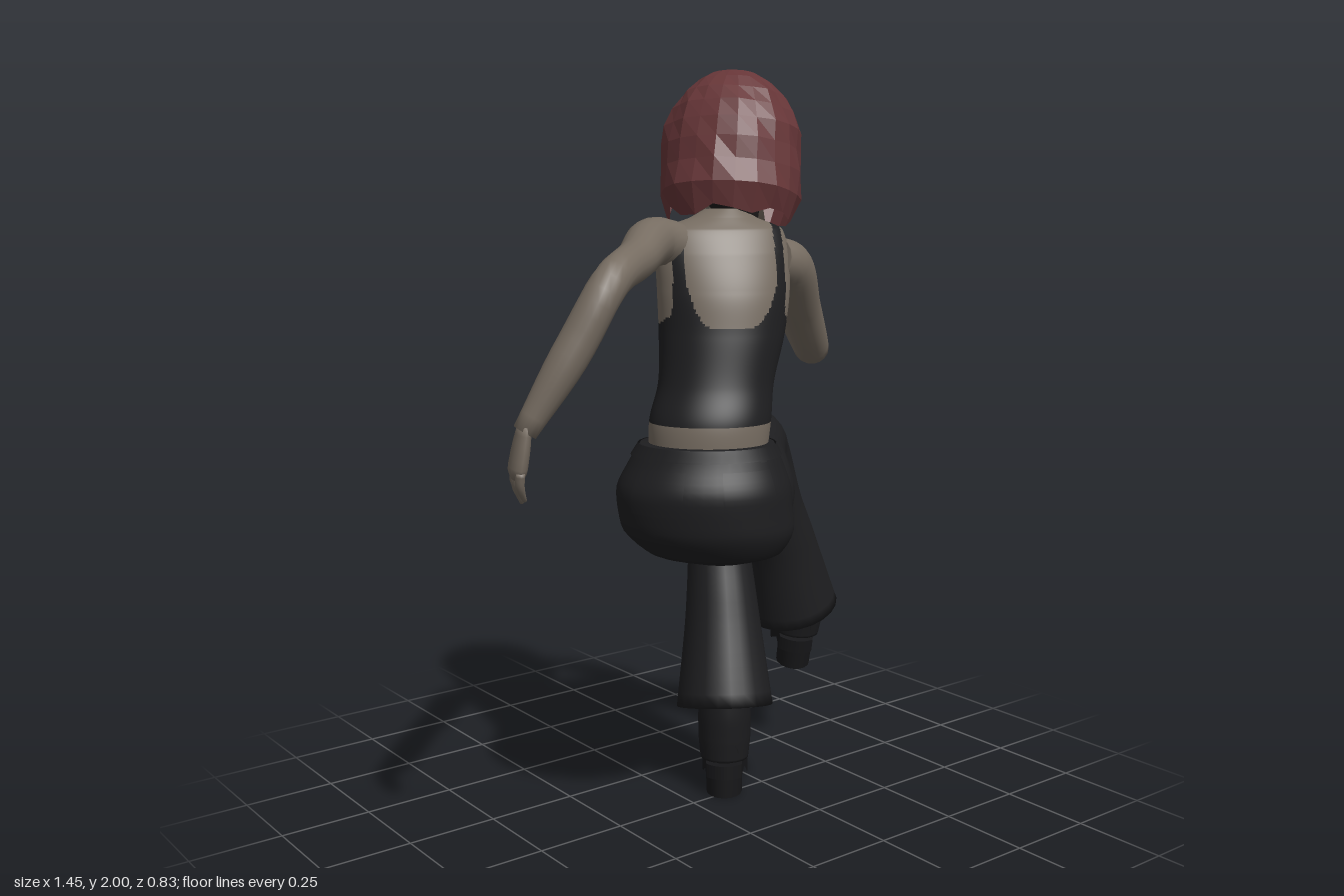
import * as THREE from 'three';

const V = (x, y, z) => new THREE.Vector3(x, y, z);
const mat = (name, color, side = THREE.FrontSide) => {
  const m = new THREE.MeshStandardMaterial({ color, side });
  m.name = name;
  return m;
};
const skin = mat('skin', 0x766c61);
const black = mat('black cloth', 0x1e1e20, THREE.DoubleSide);
const leather = mat('shoe leather', 0x1b1b1d);
const sole = mat('shoe sole', 0x171719);
const hairMat = mat('red hair', 0x673638, THREE.DoubleSide);
hairMat.flatShading = true;
const dark = mat('eye dark', 0x1d1a1a, THREE.DoubleSide);
const lip = mat('lips', 0x70544e, THREE.DoubleSide);

const mesh = (name, geo, m) => {
  const o = new THREE.Mesh(geo, m);
  o.name = name;
  return o;
};

// Grid surface fn(t, a): t along, a around; optional end caps and a material rule per quad
function grid(rows, cols, fn, { wrap = true, caps = true, rule = null } = {}) {
  const pos = [], sets = [[], []], n = wrap ? cols : cols + 1;
  for (let i = 0; i <= rows; i++)
    for (let j = 0; j < n; j++) pos.push(...fn(i / rows, j / cols).toArray());
  for (let i = 0; i < rows; i++)
    for (let j = 0; j < cols; j++) {
      const k = (j + 1) % n, a = i * n + j, b = i * n + k, c = a + n, d = b + n;
      sets[rule ? rule((i + 0.5) / rows, (j + 0.5) / cols) : 0].push(a, b, c, b, d, c);
    }
  if (wrap && caps) {
    for (const [t, base] of [[0, 0], [1, rows * n]]) {
      const mid = V(0, 0, 0), id = pos.length / 3;
      for (let j = 0; j < n; j++) mid.add(fn(t, j / cols));
      pos.push(...mid.divideScalar(n).toArray());
      for (let j = 0; j < n; j++) {
        const a = base + j, b = base + (j + 1) % n;
        sets[0].push(...(t ? [a, b, id] : [b, a, id]));
      }
    }
  }
  const g = new THREE.BufferGeometry();
  g.setAttribute('position', new THREE.Float32BufferAttribute(pos, 3));
  g.setIndex([...sets[0], ...sets[1]]);
  if (rule) {
    g.addGroup(0, sets[0].length, 0);
    g.addGroup(sets[0].length, sets[1].length, 1);
  }
  g.computeVertexNormals();
  return g;
}

// Tapered limb through [x, y, z, radius] points; flat squashes it across the side axis
function limb(name, m, pts, { side = [0.78, 0, 0.62], flat = 1, rows = 28, cols = 18 } = {}) {
  const path = new THREE.CatmullRomCurve3(pts.map(p => V(p[0], p[1], p[2])));
  const rad = new THREE.CatmullRomCurve3(pts.map(p => V(p[3], 0, 0)));
  const geo = grid(rows, cols, (t, a) => {
    const tan = path.getTangent(t), u = V(...side);
    u.addScaledVector(tan, -u.dot(tan)).normalize();
    const v = tan.clone().cross(u), r = rad.getPoint(t).x, th = a * Math.PI * 2;
    return path.getPoint(t).addScaledVector(u, Math.cos(th) * r).addScaledVector(v, Math.sin(th) * r * flat);
  });
  return mesh(name, geo, m);
}

// Body section stack: [x, y, z, half width, half depth, yaw]; front is at a = 0.25
function body(rows) {
  const mid = new THREE.CatmullRomCurve3(rows.map(r => V(r[0], r[1], r[2])));
  const size = new THREE.CatmullRomCurve3(rows.map(r => V(r[3], r[4], r[5])));
  return (t, a, off = 0) => {
    const c = mid.getPoint(t), s = size.getPoint(t), th = a * Math.PI * 2;
    const p = Math.cos(th) * (s.x + off), q = Math.sin(th) * (s.y + off);
    const w = V(c.x + p * Math.cos(s.z) + q * Math.sin(s.z), c.y, c.z + p * Math.sin(s.z) - q * Math.cos(s.z));
    w.across = p;
    w.front = Math.sin(th);
    return w;
  };
}

// Hand: palm, four curled fingers and a thumb
function hand(name, wrist, dir, across, curl) {
  const g = new THREE.Group();
  g.name = name;
  const w = V(...wrist), d = V(...dir).normalize(), s = V(...across), size = 1.1;
  s.addScaledVector(d, -s.dot(d)).normalize();
  const c = V(...curl).normalize();
  const at = (l, x, k, r) => [...w.clone().addScaledVector(d, l * size).addScaledVector(s, x * size)
    .addScaledVector(c, k * size).toArray(), r * size];
  const opt = { side: s.toArray(), rows: 8, cols: 8 };
  g.add(limb('palm', skin, [at(-0.02, 0, 0, 0.026), at(0.03, 0, 0, 0.034), at(0.075, 0, 0, 0.036), at(0.095, 0, 0, 0.02)],
    { ...opt, flat: 0.55, cols: 12 }));
  for (let i = 0; i < 4; i++) {
    const x = (i - 1.5) * 0.018, l = 0.075 - Math.abs(i - 1.4) * 0.009;
    g.add(limb('finger', skin, [at(0.075, x, 0, 0.011), at(0.075 + l * 0.5, x, 0.008, 0.01), at(0.075 + l, x, 0.035, 0.005)], opt));
  }
  g.add(limb('thumb', skin, [at(0.01, 0.02, 0, 0.013), at(0.05, 0.045, 0.012, 0.012), at(0.09, 0.048, 0.03, 0.006)], opt));
  return g;
}

// Platform boot, toe towards local +z
function boot(name) {
  const g = new THREE.Group();
  g.name = name;
  const plan = new THREE.Shape();
  plan.moveTo(-0.05, -0.14);
  plan.bezierCurveTo(-0.056, -0.03, -0.073, 0.05, -0.064, 0.1);
  plan.bezierCurveTo(-0.05, 0.192, 0.05, 0.192, 0.064, 0.1);
  plan.bezierCurveTo(0.073, 0.05, 0.056, -0.03, 0.05, -0.14);
  plan.quadraticCurveTo(0, -0.185, -0.05, -0.14);
  const base = new THREE.ExtrudeGeometry(plan, { depth: 0.04, bevelEnabled: false, curveSegments: 12 });
  base.rotateX(Math.PI / 2).translate(0, 0.04, 0);
  const p = base.attributes.position;
  for (let i = 0; i < p.count; i++)
    p.setY(i, p.getY(i) + 0.055 * (1 - THREE.MathUtils.smoothstep(p.getZ(i), -0.06, 0.05)));
  base.computeVertexNormals();
  g.add(mesh('platformSole', base, sole));
  const heel = new THREE.CylinderGeometry(0.057, 0.055, 0.085, 16);
  heel.scale(0.92, 1, 1.1).translate(0, 0.0425, -0.1);
  g.add(mesh('heel', heel, sole));
  const opt = { side: [1, 0, 0] };
  g.add(limb('vamp', leather, [[0, 0.13, -0.145, 0.04], [0, 0.145, -0.09, 0.066], [0, 0.135, -0.02, 0.068],
    [0, 0.1, 0.06, 0.064], [0, 0.08, 0.125, 0.053], [0, 0.068, 0.17, 0.015]], opt));
  g.add(limb('shaft', leather, [[0, 0.1, -0.088, 0.068], [0, 0.16, -0.085, 0.074], [0, 0.22, -0.085, 0.075], [0, 0.3, -0.085, 0.07]], opt));
  return g;
}

function makeHead() {
  const g = new THREE.Group();
  g.name = 'head';
  const face = new THREE.SphereGeometry(1, 32, 24), p = face.attributes.position;
  for (let i = 0; i < p.count; i++) {
    const y = p.getY(i), k = y < 0 ? 1 + 0.28 * y : 1;
    p.setXYZ(i, p.getX(i) * 0.105 * k, y * 0.15 - 0.055, p.getZ(i) * 0.13 + 0.03);
  }
  face.computeVertexNormals();
  g.add(mesh('face', face, skin));
  g.add(limb('nose', skin, [[0, -0.03, 0.148, 0.008], [0, -0.07, 0.162, 0.011], [0, -0.092, 0.163, 0.015], [0, -0.103, 0.15, 0.006]],
    { side: [1, 0, 0], rows: 8, cols: 10 }));
  for (const s of [-1, 1]) {
    const eye = mesh('eye', new THREE.CircleGeometry(1, 16).scale(0.02, 0.006, 1), dark);
    eye.position.set(s * 0.043, -0.042, 0.152);
    eye.rotation.y = s * 0.4;
    const brow = mesh('brow', new THREE.PlaneGeometry(0.042, 0.004), dark);
    brow.position.set(s * 0.043, -0.014, 0.153);
    brow.rotation.set(0, s * 0.4, s * -0.1);
    g.add(eye, brow);
  }
  const mouth = mesh('mouth', new THREE.CircleGeometry(1, 16).scale(0.024, 0.008, 1), lip);
  mouth.position.set(0, -0.13, 0.147);
  mouth.rotation.x = 0.35;
  g.add(mouth);
  // Bob haircut: open shell with a fringe and a ragged hem
  let seed = 7;
  const rnd = () => (seed = (seed * 16807) % 2147483647) / 2147483647 - 0.5;
  const cols = 22, rows = 9;
  const jit = Array.from({ length: (rows + 1) * cols }, rnd);
  const hair = grid(rows, cols, (t, a) => {
    const th = a * Math.PI * 2, front = -Math.sin(th), s = 1 - t, back = Math.max(0, -front);
    const j = jit[Math.round(t * rows) * cols + Math.round(a * cols) % cols];
    const open = THREE.MathUtils.smoothstep(front, 0.5, 0.8);
    const hem = THREE.MathUtils.lerp(-0.18 + 0.01 * back, 0.01, open) + (t === 0 ? j * 0.045 : 0);
    const y = 0.212 - (0.212 - hem) * Math.pow(s, 1.55);
    let r = y > 0 ? Math.sqrt(Math.max(0, 1 - (y / 0.212) ** 2)) : 1 + 0.75 * -y * back;
    r *= (1 + j * 0.07) * (s > 0.95 ? 0.86 : 1);
    return V(Math.cos(th) * 0.178 * r, y, -Math.sin(th) * 0.192 * r);
  }, { caps: false });
  g.add(mesh('bobHair', hair, hairMat));
  return g;
}

export function createModel() {
  const root = new THREE.Group();
  root.name = 'seatedWoman';

  // Hips with waistband, belt loops and back pockets
  const hips = body([[-0.1, 0.765, 0.24, 0.07, 0.05, 0.67], [-0.11, 0.79, 0.235, 0.165, 0.12, 0.67],
    [-0.125, 0.86, 0.222, 0.22, 0.168, 0.67], [-0.135, 0.95, 0.218, 0.222, 0.175, 0.67],
    [-0.132, 1.03, 0.222, 0.192, 0.15, 0.67], [-0.13, 1.075, 0.225, 0.168, 0.135, 0.65]]);
  root.add(mesh('trouserHips', grid(24, 40, (t, a) => hips(t, a)), black));
  const patch = (name, t0, t1, a0, a1, off) => root.add(mesh(name,
    grid(8, 32, (t, a) => hips(t0 + (t1 - t0) * t, a0 + (a1 - a0) * a, off), { wrap: false }), black));
  patch('waistband', 0.86, 1, 0, 1, 0.006);
  for (const a of [0.13, 0.37, 0.62, 0.75, 0.88]) patch('beltLoop', 0.85, 1, a - 0.008, a + 0.008, 0.01);
  for (const a of [0.66, 0.84]) patch('backPocket', 0.52, 0.78, a - 0.055, a + 0.055, 0.005);

  // Torso: bare waist, tank top with scooped neck and open armholes
  const trunk = body([[-0.128, 1.04, 0.225, 0.148, 0.118, 0.64], [-0.118, 1.13, 0.222, 0.153, 0.122, 0.6],
    [-0.092, 1.22, 0.212, 0.146, 0.115, 0.55], [-0.06, 1.34, 0.195, 0.16, 0.122, 0.48],
    [-0.045, 1.45, 0.183, 0.17, 0.118, 0.43], [-0.04, 1.54, 0.172, 0.172, 0.097, 0.42],
    [-0.036, 1.6, 0.165, 0.155, 0.072, 0.42], [-0.025, 1.628, 0.155, 0.085, 0.055, 0.42], [-0.01, 1.65, 0.145, 0.05, 0.048, 0.42]]);
  const bust = (t, a) => {
    const w = trunk(t, a);
    if (w.front > 0) {
      const k = 0.04 * w.front * Math.exp(-(((w.y - 1.39) / 0.07) ** 2)) * Math.exp(-(((Math.abs(w.across) - 0.07) / 0.06) ** 2));
      w.x += k * 0.45;
      w.z -= k * 0.9;
    }
    return w;
  };
  const bare = (t, a) => {
    const { y, across, front } = trunk(t, a), x = Math.abs(across);
    const scoop = x < 0.118 && y > (front > 0 ? 1.42 : 1.36) + 0.12 * (x / 0.118) ** 4;
    const armhole = x > 0.144 && y > 1.37 + 0.1 * front * front;
    return y < 1.125 || y > 1.622 || scoop || armhole ? 1 : 0;
  };
  root.add(mesh('torsoAndTankTop', grid(150, 160, bust, { rule: bare }), [black, skin]));
  root.add(limb('neck', skin, [[-0.025, 1.56, 0.155, 0.055], [0.01, 1.63, 0.12, 0.05], [0.04, 1.72, 0.09, 0.052]]));
  root.add(limb('napeHair', dark, [[0.045, 1.57, 0.145, 0.035], [0.03, 1.63, 0.145, 0.055], [0.02, 1.7, 0.14, 0.075], [0.03, 1.76, 0.13, 0.07]]));

  const head = makeHead();
  head.position.set(0.05, 1.787, 0.092);
  head.rotation.set(0.17, Math.atan2(0.45, -0.89), 0.09, 'YXZ');
  root.add(head);

  // Flared trouser legs, one resting over the other
  root.add(limb('standingLeg', black, [[-0.2, 0.91, 0.19, 0.12], [-0.05, 0.895, 0.055, 0.12], [0.12, 0.875, -0.09, 0.107],
    [0.215, 0.84, -0.185, 0.1], [0.222, 0.72, -0.175, 0.088], [0.2, 0.5, -0.125, 0.105], [0.163, 0.235, -0.065, 0.138]], { rows: 44, cols: 22 }));
  root.add(limb('crossedLeg', black, [[-0.07, 0.9, 0.265, 0.085], [0.06, 0.905, 0.16, 0.122], [0.2, 0.955, -0.02, 0.112],
    [0.298, 0.972, -0.115, 0.104], [0.385, 0.8, -0.145, 0.098], [0.455, 0.65, -0.165, 0.107], [0.53, 0.44, -0.195, 0.138]], { rows: 44, cols: 22 }));

  const yaw = Math.atan2(0.64, -0.77);
  const standing = boot('standingBoot');
  standing.position.set(0.188, 0, -0.095);
  standing.rotation.y = yaw;
  const crossed = boot('crossedBoot');
  crossed.position.set(0.602, 0.275, -0.275);
  crossed.rotation.set(-0.16, yaw, 0.1, 'YXZ');
  root.add(standing, crossed);

  // Lowered arm held away from the body
  root.add(limb('loweredArm', skin, [[-0.13, 1.555, 0.13, 0.055], [-0.225, 1.572, 0.135, 0.06], [-0.34, 1.535, 0.22, 0.05],
    [-0.485, 1.49, 0.32, 0.045], [-0.575, 1.345, 0.305, 0.046], [-0.682, 1.16, 0.262, 0.029]]));
  root.add(hand('loweredHand', [-0.685, 1.155, 0.26], [-0.12, -1, -0.15], [0.3, 0, -0.95], [0.8, -0.1, -0.4]));

  // Raised arm with the hand against the cheek
  root.add(limb('raisedArm', skin, [[0.08, 1.52, 0.225, 0.06], [0.14, 1.505, 0.215, 0.062], [0.25, 1.39, 0.14, 0.056],
    [0.378, 1.262, 0.045, 0.047], [0.315, 1.41, 0.01, 0.048], [0.21, 1.6, -0.01, 0.03]], { side: [0.5, 0, -0.86], rows: 40 }));
  root.add(hand('raisedHand', [0.208, 1.605, -0.008], [0, 0.75, 0.6], [0, 0.6, -0.75], [0.3, 0.1, 0.5]));
  return root;
}
